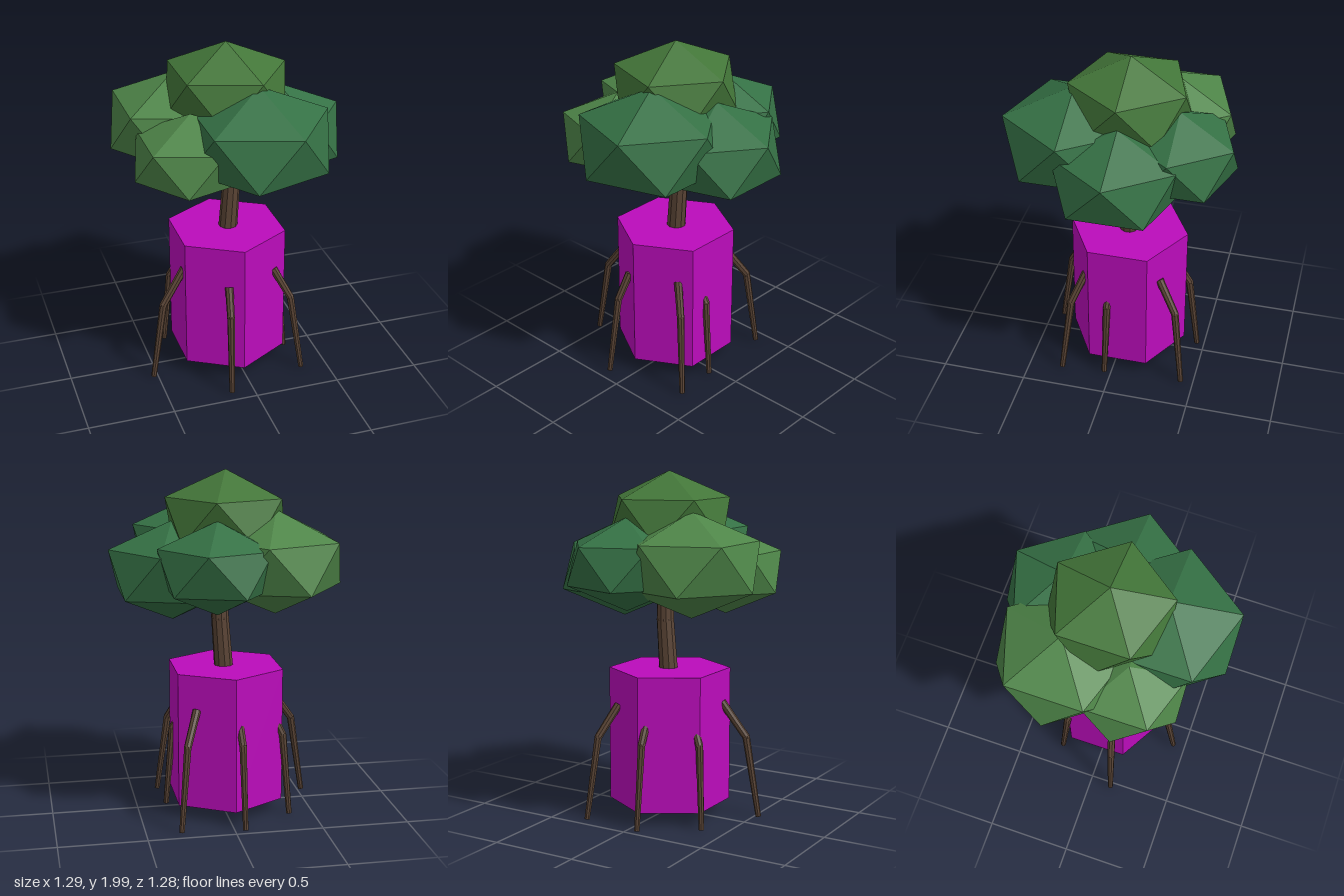
import * as THREE from 'three';

const mat = (color) => new THREE.MeshStandardMaterial({ color, flatShading: true });
const bark = mat(0x5a4435);
const potMat = mat(0xbb0cbb);
const lightLeaf = mat(0x4e8548);
const midLeaf = mat(0x437639);
const darkLeaf = mat(0x357145);

const UP = new THREE.Vector3(0, 1, 0);

// Bent, tapering branch: cylinders between points, with round joints
function limb(name, points, radii, sides) {
  const group = new THREE.Group();
  group.name = name;
  const pts = points.map((p) => new THREE.Vector3(...p));
  pts.forEach((p, i) => {
    if (i < pts.length - 1) {
      const dir = pts[i + 1].clone().sub(p);
      const seg = new THREE.Mesh(
        new THREE.CylinderGeometry(radii[i + 1], radii[i], dir.length(), sides), bark);
      seg.position.copy(p).addScaledVector(dir, 0.5);
      seg.quaternion.setFromUnitVectors(UP, dir.normalize());
      seg.name = name + 'Segment';
      group.add(seg);
    }
    if (i > 0 && i < pts.length - 1) {
      const joint = new THREE.Mesh(new THREE.SphereGeometry(radii[i], sides, 6), bark);
      joint.position.copy(p);
      joint.name = name + 'Joint';
      group.add(joint);
    }
  });
  return group;
}

// Leaf clump: icosahedron standing on a corner, flattened
function clump(name, x, y, z, radius, material) {
  const geo = new THREE.IcosahedronGeometry(radius, 0);
  geo.rotateX(-Math.atan2((1 + Math.sqrt(5)) / 2, 1));
  geo.rotateY(Math.PI / 2);
  geo.scale(1, 0.7, 1);
  const mesh = new THREE.Mesh(geo, material);
  mesh.position.set(x, y, z);
  mesh.name = name;
  return mesh;
}

export function createModel() {
  const model = new THREE.Group();
  model.name = 'walkingTree';

  // Six-sided pot
  const pot = new THREE.Mesh(new THREE.CylinderGeometry(0.35, 0.35, 0.785, 6), potMat);
  pot.position.set(-0.02, 0.478, -0.03);
  pot.name = 'pot';
  model.add(pot);

  // Trunk, leaning slightly
  model.add(limb('trunk',
    [[-0.015, 0.8, -0.03], [0.01, 1.15, -0.03], [0.01, 1.25, -0.03], [-0.02, 1.6, -0.03]],
    [0.056, 0.051, 0.049, 0.035], 10));

  // Seven legs: hip, knee, foot
  const legs = [
    [[0.2, 0.65, 0.18], [0.285, 0.48, 0.25], [0.345, 0.01, 0.3]],
    [[-0.1, 0.63, 0.275], [-0.115, 0.48, 0.355], [-0.13, 0.01, 0.425]],
    [[-0.31, 0.68, 0.07], [-0.45, 0.48, 0.11], [-0.525, 0.01, 0.13]],
    [[-0.25, 0.64, -0.17], [-0.325, 0.48, -0.215], [-0.36, 0.01, -0.25]],
    [[-0.045, 0.64, -0.31], [-0.055, 0.49, -0.395], [-0.06, 0.01, -0.455]],
    [[0.185, 0.67, -0.26], [0.255, 0.49, -0.37], [0.3, 0.01, -0.425]],
    [[0.2, 0.62, 0.025], [0.285, 0.48, 0.033], [0.325, 0.01, 0.042]],
  ];
  legs.forEach((p) => model.add(limb('leg', p, [0.024, 0.022, 0.016], 8)));

  // Canopy
  [
    ['topClump', -0.02, 1.73, -0.035, 0.386, midLeaf],
    ['frontClump', 0.075, 1.52, 0.255, 0.447, darkLeaf],
    ['backRightClump', -0.272, 1.497, -0.215, 0.42, lightLeaf],
    ['frontRightClump', -0.282, 1.433, 0.158, 0.356, lightLeaf],
    ['leftClump', 0.285, 1.437, -0.035, 0.404, darkLeaf],
    ['backClump', 0.078, 1.492, -0.33, 0.371, darkLeaf],
  ].forEach((c) => model.add(clump(...c)));

  return model;
}
